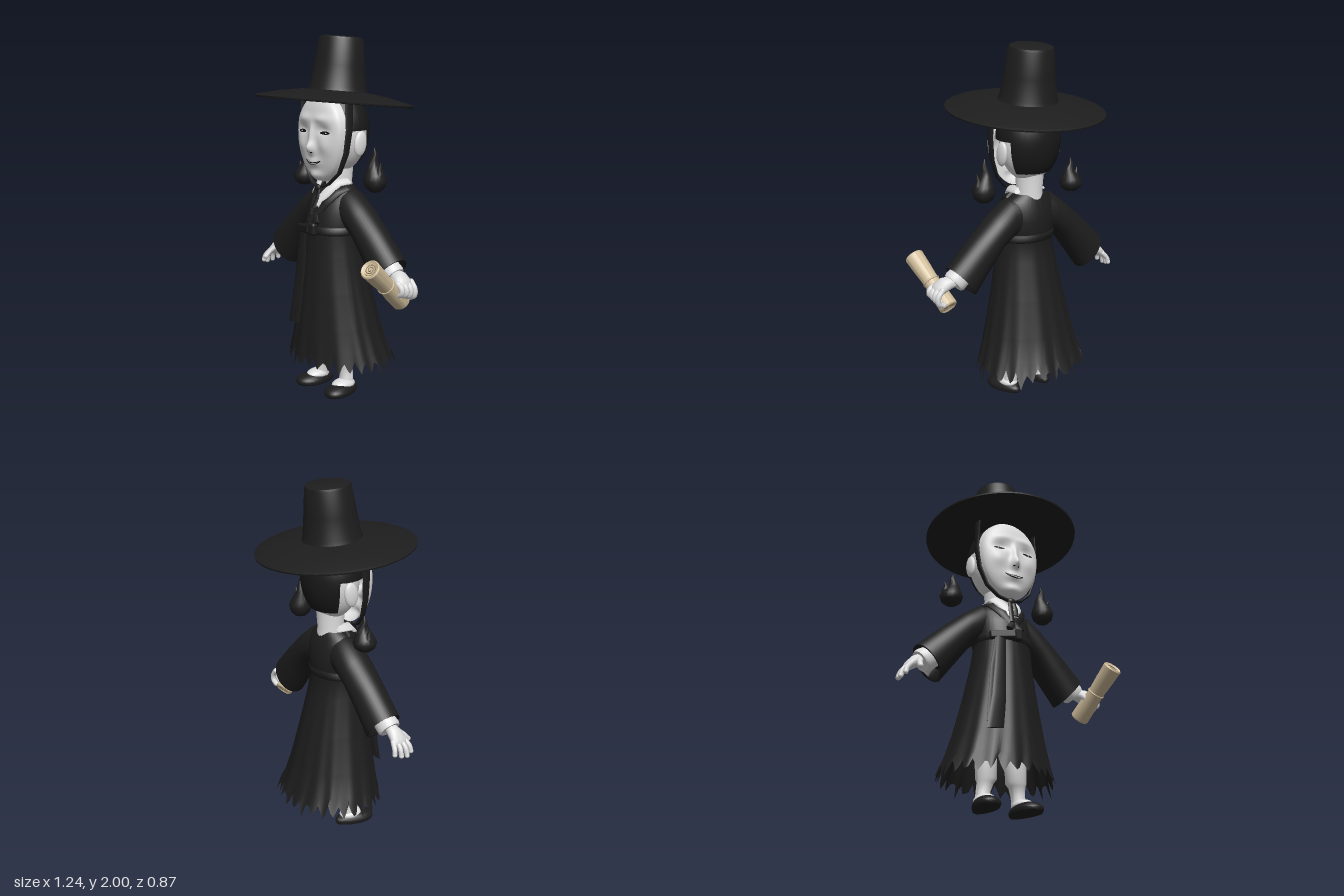
import * as THREE from 'three';
import { mergeVertices, toCreasedNormals } from 'three/addons/utils/BufferGeometryUtils.js';
import { RoundedBoxGeometry } from 'three/addons/geometries/RoundedBoxGeometry.js';

const V = (x, y, z) => new THREE.Vector3(x, y, z);
const mat = (name, color) => Object.assign(new THREE.MeshStandardMaterial({ color, side: THREE.DoubleSide }), { name });

// Skin over elliptical sections [centre, u, v]; warp may move single points
function loft(sections, n = 24, { cap = true, warp } = {}) {
  const [c0, u0, v0] = sections[0];
  const flip = u0.clone().cross(v0).dot(sections[1][0].clone().sub(c0)) > 0 ? -1 : 1;
  const pos = [], idx = [];
  sections.forEach(([c, u, v], i) => {
    for (let j = 0; j < n; j++) {
      const a = j / n * Math.PI * 2;
      const p = c.clone().addScaledVector(u, Math.cos(a)).addScaledVector(v, flip * Math.sin(a));
      if (warp) warp(p, i, j, a);
      pos.push(p.x, p.y, p.z);
      if (i) {
        const b = (i - 1) * n, t = i * n, k = (j + 1) % n;
        idx.push(b + j, t + j, b + k, b + k, t + j, t + k);
      }
    }
  });
  if (cap) {
    const m = sections.length, last = (m - 1) * n, e = m * n;
    for (const s of [sections[0], sections[m - 1]]) pos.push(...s[0].toArray());
    for (let j = 0; j < n; j++) {
      const k = (j + 1) % n;
      idx.push(e, j, k, e + 1, last + k, last + j);
    }
  }
  const g = new THREE.BufferGeometry();
  g.setAttribute('position', new THREE.Float32BufferAttribute(pos, 3));
  g.setIndex(idx);
  return toCreasedNormals(g, 0.9);
}
const ring = (x, y, z, rx, rz = rx) => [V(x, y, z), V(rx, 0, 0), V(0, 0, rz)];
// Section between an upper and a lower edge point, rz deep
const slice = (s, ux, uy, lx, ly, z, rz) =>
  [V(s * (ux + lx) / 2, (uy + ly) / 2, z), V(s * (ux - lx) / 2, (uy - ly) / 2, 0), V(0, 0, rz)];
const strip = (pts, u, v) => loft(pts.map(p => [V(...p), u, v]), 12);

// Face relief
const outline = y => y > 1.48 ? 0.21 : 0.275;
const bump = (x, y, cx, cy, sx, sy) => Math.exp(-(((x - cx) / sx) ** 2) - ((y - cy) / sy) ** 2);
function faceZ(x, y) {
  const r = Math.min(1, Math.hypot(x / 0.188, (y - 1.48) / outline(y))), ax = Math.abs(x);
  return 0.07 + 0.088 * (1 - r ** 2.5) ** 0.4
    + 0.035 * bump(x, y, 0, 1.395, 0.026, 0.035) + 0.018 * bump(x, y, 0, 1.46, 0.02, 0.06)
    + 0.010 * bump(ax, y, 0.07, 1.555, 0.06, 0.022) - 0.014 * bump(ax, y, 0.085, 1.495, 0.045, 0.025)
    + 0.010 * bump(ax, y, 0.095, 1.41, 0.04, 0.04) + 0.016 * bump(x, y, 0, 1.318, 0.045, 0.025)
    + 0.022 * bump(x, y, 0, 1.24, 0.05, 0.028);
}
// Disc laid on the face surface
function facePatch(cx, cy, rx, top, low, lift = 0, bend = 0, rings = 3) {
  let g = new THREE.RingGeometry(0.001, 1, 64, rings);
  g.deleteAttribute('uv'); g.deleteAttribute('normal');
  const p = g.attributes.position;
  for (let i = 0; i < p.count; i++) {
    const a = p.getX(i), b = p.getY(i), x = cx + a * rx, y = cy + b * (b > 0 ? top : low) + bend * a * a;
    p.setXYZ(i, x, y, faceZ(x, y) + lift);
  }
  g = mergeVertices(g, 1e-6);
  g.computeVertexNormals();
  return g;
}

export function createModel() {
  const root = new THREE.Group();
  const black = mat('black cloth', 0x1d1d1d), hairMat = mat('black hair', 0x191919);
  const white = mat('pale skin and linen', 0xdcdcdc), ink = mat('ink', 0x0c0c0c);
  const paper = mat('scroll paper', 0xcfbc9a), cord = mat('scroll edge', 0x8f7c5e);
  const add = (name, geo, m, parent = root) => {
    const mesh = new THREE.Mesh(geo, m);
    mesh.name = name;
    parent.add(mesh);
    return mesh;
  };
  const ball = (name, m, x, y, z, rx, ry, rz, ...cut) => {
    const b = add(name, new THREE.SphereGeometry(1, 32, 24, ...cut), m);
    b.position.set(x, y, z);
    b.scale.set(rx, ry, rz);
    return b;
  };
  const finger = (name, pts, r) => {
    const curve = new THREE.CatmullRomCurve3(pts.map(p => V(...p)));
    add(name, new THREE.TubeGeometry(curve, 10, r, 10), white);
    for (const p of [pts[0], pts[pts.length - 1]]) ball(name + 'End', white, ...p, r, r, r);
  };
  let seed = 7;
  const rand = () => (seed = (seed * 16807) % 2147483647) / 2147483647;

  // Wide hat, tilted back
  const hat = new THREE.Group();
  hat.name = 'hat';
  hat.position.y = 1.645;
  hat.rotation.x = -0.1;
  root.add(hat);
  const lathe = pts => toCreasedNormals(new THREE.LatheGeometry(pts.map(p => new THREE.Vector2(...p)), 72), 0.7);
  add('hatBrim', lathe([[0, 0.03], [0.16, 0.028], [0.3, 0.016], [0.42, -0.012], [0.435, -0.01], [0.437, -0.002],
    [0.42, 0.006], [0.3, 0.034], [0.18, 0.052], [0, 0.055]]), black, hat);
  add('hatCrown', lathe([[0.168, 0.04], [0.156, 0.075], [0.14, 0.19], [0.124, 0.325], [0.119, 0.338], [0.105, 0.344], [0, 0.347]]),
    black, hat).position.z = -0.018;

  // Head, face and hair
  ball('head', white, 0, 1.47, -0.03, 0.172, 0.22, 0.14);
  add('face', facePatch(0, 1.48, 0.188, 0.21, 0.275, 0, 0, 32), white);
  add('neck', loft([ring(0, 1.1, -0.035, 0.085), ring(0, 1.2, -0.035, 0.072), ring(0, 1.36, -0.035, 0.085)]), white);
  ball('hairTop', hairMat, 0, 1.49, -0.025, 0.184, 0.22, 0.168, 0, Math.PI * 2, 0, Math.PI / 2);
  ball('hairBack', hairMat, 0, 1.49, -0.025, 0.184, 0.25, 0.168, Math.PI + 0.42, Math.PI - 0.84, Math.PI / 2 - 0.05, 0.86);
  add('mouth', facePatch(0, 1.313, 0.06, 0.006, 0.008, 0.003, 0.016), ink);
  add('teeth', facePatch(0.004, 1.313, 0.04, 0.002, 0.004, 0.005, 0.007), white);
  for (const s of [-1, 1]) {
    ball('ear', white, s * 0.18, 1.42, -0.03, 0.02, 0.068, 0.042).rotation.x = -0.15;
    add('eye', facePatch(s * 0.093, 1.482, 0.033, 0.009, 0.008, 0.003), ink);
    add('eyeGlint', facePatch(s * 0.1, 1.482, 0.006, 0.004, 0.004, 0.005), white);
    add('nostril', facePatch(s * 0.014, 1.373, 0.006, 0.003, 0.003, 0.002), ink);
    // Chin strap
    const strap = [[0.183, 1.67, 0.055, 0.03, 1, 0], [0.192, 1.5, 0.06, 0.024, 1, 0], [0.176, 1.37, 0.068, 0.02, 0.95, -0.3],
      [0.135, 1.265, 0.08, 0.016, 0.75, -0.65], [0.07, 1.2, 0.1, 0.014, 0.4, -0.9], [0, 1.175, 0.115, 0.014, 0, -1]];
    add('chinStrap', loft(strap.map(([x, y, z, w, a, b]) => [V(s * x, y, z), V(0, 0, w), V(s * a * 0.008, b * 0.008, 0)]), 12), black);
    add('strapTail', strip([[s * 0.008, 1.18, 0.118], [s * 0.016, 1.12, 0.138], [s * 0.012 - 0.005, s > 0 ? 1.07 : 1.03, 0.158]],
      V(0.015, 0, 0), V(0, 0, 0.006)), black);
    // Collar layers
    add('whiteCollar', strip([[s * 0.075, 1.205, -0.04], [s * 0.075, 1.2, 0.04], [s * 0.05, 1.15, 0.095], [s * 0.004, 1.08, 0.137]],
      V(s * 0.027, -0.012, 0), V(0.004, 0.012, 0.008)), white);
    add('lapel', strip([[s * 0.105, 1.175, 0.0], [s * 0.095, 1.155, 0.06], [s * 0.055, 1.09, 0.118], [-s * 0.03, 0.98, 0.158]],
      V(s * 0.026, -0.012, 0), V(0.002, 0.008, 0.01)), black);
  }
  ball('strapKnot', black, 0, 1.175, 0.12, 0.024, 0.02, 0.014);

  // Robe: ragged hem, pleats, waist and shoulders as [y, half width, front z, back z]
  const rows = [[0.135, 0.345, 0.235, -0.34], [0.27, 0.296, 0.212, -0.285], [0.4, 0.258, 0.2, -0.248], [0.6, 0.213, 0.182, -0.2],
    [0.8, 0.176, 0.165, -0.153], [0.92, 0.163, 0.155, -0.128], [0.97, 0.165, 0.152, -0.138], [1.04, 0.168, 0.142, -0.142],
    [1.1, 0.165, 0.115, -0.132], [1.15, 0.145, 0.085, -0.115], [1.185, 0.09, 0.045, -0.1]];
  const oval = ([y, w, f, b], k = 0) => ring(0, y, (f + b) / 2, w + k, (f - b) / 2 + k);
  const teeth = Array.from({ length: 30 }, () => [rand() * 0.045, 0.05 + rand() * 0.025, 0.075 + rand() * 0.035, 0.04 + rand() * 0.04]);
  add('robe', loft(rows.map(r => oval(r)), 120, {
    cap: false,
    warp(p, i, j, a) {
      const pleat = i < 5 ? 1 + 0.018 * (1 - i / 5) * Math.cos(a * 15 + Math.sin(a * 3)) : 1;
      const h = i ? 0 : teeth[Math.floor(j / 4)][j % 4];
      p.x *= pleat * (1 - h);
      p.z *= pleat * (1 - h);
      p.y += h;
    },
  }), black);
  add('belt', loft([oval([0.915, 0.163, 0.155, -0.128], -0.004), oval([0.925, 0.163, 0.155, -0.13], 0.007),
    oval([0.96, 0.164, 0.153, -0.135], 0.007), oval([0.97, 0.164, 0.152, -0.138], -0.004)], 48), black);

  // Bow and hanging sash
  const bow = add('bow', new RoundedBoxGeometry(0.15, 0.05, 0.03, 3, 0.013), black);
  bow.position.set(-0.075, 0.94, 0.155);
  bow.rotation.set(0, -0.3, 0.12);
  add('bowKnot', new RoundedBoxGeometry(0.065, 0.07, 0.04, 3, 0.015), black).position.set(0.005, 0.95, 0.165);
  const sash = (pts) => loft(pts.map(([x, y, z, w]) => [V(x, y, z), V(w, 0.006, 0), V(0, 0, 0.008)]), 12);
  add('longSash', sash([[-0.085, 0.94, 0.155, 0.03], [-0.095, 0.75, 0.16, 0.035], [-0.11, 0.58, 0.175, 0.042], [-0.135, 0.39, 0.182, 0.052]]), black);
  add('shortSash', sash([[-0.095, 0.94, 0.152, 0.026], [-0.12, 0.75, 0.15, 0.03], [-0.14, 0.43, 0.168, 0.04]]), black);

  for (const s of [-1, 1]) {
    // Wide sleeve and linen cuff
    add('sleeve', loft([slice(s, 0.06, 1.175, 0.06, 0.95, -0.015, 0.09), slice(s, 0.15, 1.16, 0.14, 0.94, -0.02, 0.1),
      slice(s, 0.25, 1.085, 0.2, 0.895, -0.018, 0.1), slice(s, 0.38, 0.97, 0.27, 0.8, -0.015, 0.097),
      slice(s, 0.515, 0.84, 0.37, 0.665, -0.012, 0.095), slice(s, 0.505, 0.832, 0.378, 0.68, -0.012, 0.083),
      slice(s, 0.46, 0.86, 0.36, 0.74, -0.012, 0.07)], 36), black);
    add('innerCuff', loft([slice(s, 0.45, 0.85, 0.38, 0.75, -0.005, 0.058), slice(s, 0.515, 0.81, 0.435, 0.7, 0, 0.062),
      slice(s, 0.525, 0.795, 0.45, 0.7, 0, 0.056), slice(s, 0.515, 0.785, 0.46, 0.715, 0, 0.045)], 24), white);
    // Leg, sock and shoe
    add('leg', loft([ring(s * 0.09, 0.5, 0, 0.07), ring(s * 0.09, 0.3, 0, 0.06), ring(s * 0.09, 0.17, 0.005, 0.056),
      ring(s * 0.095, 0.15, 0.005, 0.045), ring(s * 0.105, 0.1, 0, 0.038), ring(s * 0.11, 0.04, 0.01, 0.045)]), white);
    ball('sock', white, s * 0.113, 0.05, 0.03, 0.052, 0.032, 0.075);
    const shoe = new THREE.SphereGeometry(1, 32, 24), p = shoe.attributes.position;
    for (let i = 0; i < p.count; i++) {
      const z = p.getZ(i), y = p.getY(i);
      p.setXYZ(i, p.getX(i) * (0.066 + 0.018 * z) + 0.012 * z * s, y < -0.4 ? 0 : (y + 0.4) * 0.046, z * 0.12);
    }
    shoe.computeVertexNormals();
    add('shoe', toCreasedNormals(shoe, 0.8), black).position.set(s * 0.118, 0, 0.045);
  }

  // Open hand
  add('openPalm', loft([slice(-1, 0.5, 0.79, 0.46, 0.74, 0, 0.03), slice(-1, 0.54, 0.765, 0.5, 0.715, 0.005, 0.042),
    slice(-1, 0.575, 0.725, 0.54, 0.69, 0.005, 0.048), slice(-1, 0.58, 0.705, 0.56, 0.69, 0.005, 0.042)], 20), white);
  for (let i = 0; i < 4; i++) {
    const z = -0.033 + i * 0.025, e = Math.abs(i - 1.7) * 0.012;
    finger('openFinger', [[-0.555, 0.71, z], [-0.593 + e / 2, 0.675, z * 1.3], [-0.608 + e, 0.632 + e, z * 1.4]], 0.0135);
  }
  finger('openThumb', [[-0.5, 0.745, 0.03], [-0.52, 0.715, 0.065], [-0.527, 0.685, 0.092]], 0.015);

  // Gripping hand
  add('gripPalm', loft([slice(1, 0.5, 0.79, 0.46, 0.73, 0, 0.032), slice(1, 0.55, 0.785, 0.505, 0.72, 0.008, 0.048),
    slice(1, 0.59, 0.755, 0.545, 0.705, 0.015, 0.055), slice(1, 0.6, 0.725, 0.565, 0.7, 0.015, 0.045)], 20), white);
  for (let i = 0; i < 4; i++) {
    const z = -0.035 + i * 0.031, y = 0.008 * i;
    finger('gripFinger', [[0.575, 0.735, z], [0.602, 0.7 + y / 2, z], [0.6, 0.665 + y, z], [0.572, 0.65 + y, z]], 0.0155);
  }
  finger('gripThumb', [[0.5, 0.74, 0.035], [0.497, 0.72, 0.075], [0.52, 0.69, 0.09]], 0.016);

  // Rolled scroll
  const scroll = new THREE.Group(), a = V(0.575, 0.85, 0.26), b = V(0.525, 0.62, -0.015);
  scroll.name = 'scroll';
  scroll.position.copy(a).add(b).multiplyScalar(0.5);
  scroll.quaternion.setFromUnitVectors(V(0, 1, 0), a.clone().sub(b).normalize());
  root.add(scroll);
  add('scrollRoll', lathe([[0, -0.172], [0.036, -0.174], [0.046, -0.182], [0.052, -0.175], [0.05, -0.08], [0.045, -0.02],
    [0.045, 0.02], [0.049, 0.08], [0.053, 0.175], [0.047, 0.182], [0.036, 0.174], [0, 0.172]]), paper, scroll);
  add('scrollTie', new THREE.TorusGeometry(0.045, 0.005, 8, 32), paper, scroll).rotation.x = Math.PI / 2;
  for (const y of [-0.174, 0.174]) {
    const pts = Array.from({ length: 30 }, (_, i) => V(Math.cos(i * 0.5) * (0.006 + i * 0.001), y, Math.sin(i * 0.5) * (0.006 + i * 0.001)));
    add('scrollSpiral', new THREE.TubeGeometry(new THREE.CatmullRomCurve3(pts), 60, 0.0022, 5), cord, scroll);
  }

  // Floating flames with a curling tip and a side lick
  for (const [s, y, h] of [[1, 1.235, 1], [-1, 1.193, 0.82]]) {
    const flame = new THREE.Group();
    flame.name = 'flame';
    flame.position.set(s * 0.3, y, -0.03);
    flame.scale.y = h;
    root.add(flame);
    const body = [[0, -0.066, 0.008], [0, -0.058, 0.032], [0, -0.035, 0.056], [0, 0, 0.065], [-0.002, 0.03, 0.056], [-0.008, 0.058, 0.042],
      [-0.014, 0.085, 0.03], [-0.012, 0.11, 0.022], [-0.003, 0.14, 0.014], [-0.008, 0.175, 0.002]];
    const lick = [[0.025, 0.01, 0.034], [0.036, 0.04, 0.022], [0.034, 0.065, 0.013], [0.044, 0.1, 0.002]];
    const lick2 = [[-0.03, 0.01, 0.03], [-0.042, 0.035, 0.017], [-0.044, 0.07, 0.002]];
    for (const [name, pts] of [['flameBody', body], ['flameLick', lick], ['flameLick', lick2]])
      add(name, loft(pts.map(([x, py, r]) => ring(s * x, py, 0, r)), 20), black, flame);
  }
  return root;
}
